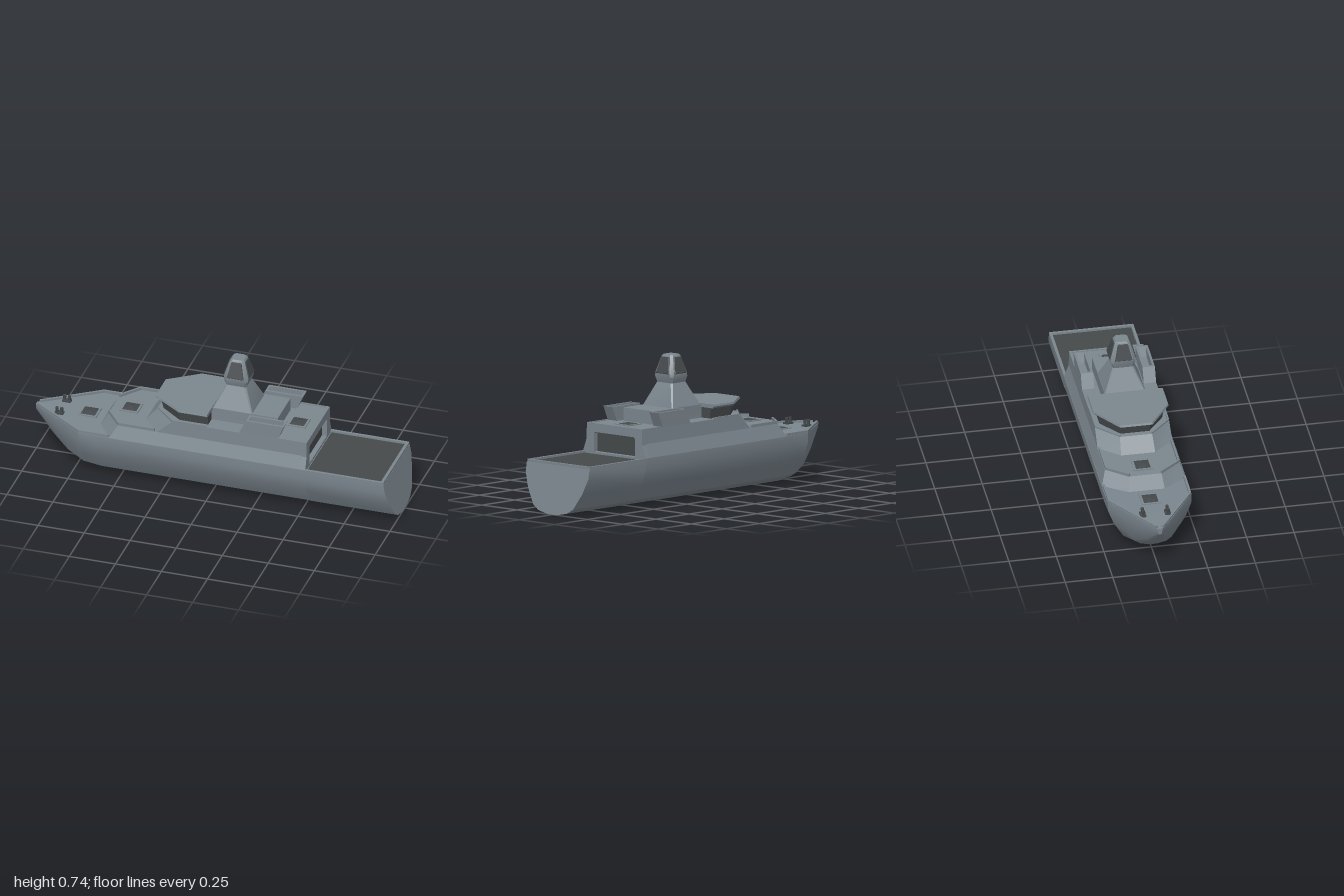
import * as THREE from 'three';
import { toCreasedNormals } from 'three/addons/utils/BufferGeometryUtils.js';

const grey = new THREE.MeshStandardMaterial({ color: 0x7b868e });
const dark = new THREE.MeshStandardMaterial({ color: 0x45494b });

// Skin a stack of equal-length rings (counter-clockwise seen from the end), with flat caps
function loft(rings, crease = 0.35) {
  const n = rings[0].length, idx = [];
  rings.slice(1).forEach((_, r) => {
    for (let i = 0; i < n; i++) {
      const a = r * n + i, b = r * n + (i + 1) % n;
      idx.push(a, b, b + n, a, b + n, a + n);
    }
  });
  const last = (rings.length - 1) * n;
  for (let i = 1; i < n - 1; i++) idx.push(0, i + 1, i, last, last + i, last + i + 1);
  const g = new THREE.BufferGeometry();
  g.setAttribute('position', new THREE.Float32BufferAttribute(rings.flat(2), 3));
  g.setIndex(idx);
  return toCreasedNormals(g, crease);
}

// Horizontal ring from a half outline [x, z] running stern to bow
const plan = (y, half) => [
  ...half.map(([x, z]) => [x, y, -z]),
  ...half.slice().reverse().map(([x, z]) => [x, y, z]),
];
const chamfered = (y, x0, x1, z, c) =>
  plan(y, [[x1, z - c], [x1 - c, z], [x0 + c, z], [x0, z - c]]);

export function createModel() {
  const ship = new THREE.Group();
  ship.name = 'patrolShip';
  const add = (name, geometry, material = grey, parent = ship) => {
    const m = new THREE.Mesh(geometry, material);
    m.name = name;
    parent.add(m);
    return m;
  };
  const box = (name, x, y, z, w, h, d, material = grey) => {
    const m = add(name, new THREE.BoxGeometry(w, h, d), material);
    m.position.set(x, y, z);
    return m;
  };
  // Low bulwark along a half outline, on both sides
  const rail = (name, pts, y0, y1, t) => {
    for (const s of [1, -1])
      for (let i = 1; i < pts.length; i++) {
        const [ax, az] = pts[i - 1], [bx, bz] = pts[i];
        const m = box(name, (ax + bx) / 2, (y0 + y1) / 2, s * (az + bz) / 2,
          Math.hypot(bx - ax, bz - az) + t * 0.4, y1 - y0, t);
        m.rotation.y = -Math.atan2(s * (bz - az), bx - ax);
      }
  };

  // Hull: one half section, scaled at stations [x, half beam, keel, deck]
  const section = [[1, 1], [1, 0.8], [0.86, 0.475], [0.63, 0.15], [0.45, 0.055], [0.14, 0]];
  const stations = [
    [-1, 0.012, 0.235, 0.27], [-0.95, 0.05, 0.185, 0.27], [-0.9, 0.085, 0.13, 0.27],
    [-0.8, 0.153, 0.05, 0.27], [-0.7, 0.22, 0.016, 0.268], [-0.6, 0.222, 0.002, 0.266],
    [0.529, 0.222, 0, 0.265], [0.53, 0.222, 0, 0.252], [0.955, 0.222, 0, 0.252],
  ];
  add('hull', loft(stations.map(([x, b, k, top], i) => {
    const half = section.map(([u, v]) => {
      const y = k + v * (top - k);
      return [i === stations.length - 1 ? 1 - 0.045 * y / 0.252 : x, y, u * b];
    });
    return [...half, ...half.slice().reverse().map(([px, y, z]) => [px, y, -z])];
  }), 0.4));

  // Stern working deck and its rim
  box('workingDeck', 0.74, 0.2525, 0, 0.41, 0.004, 0.412, dark);
  rail('sternRim', [[0.53, 0.2145], [0.948, 0.2145]], 0.25, 0.265, 0.015);
  box('transomRim', 0.946, 0.2575, 0, 0.016, 0.015, 0.44);

  // Superstructure tiers
  add('lowerTier', loft([
    plan(0.26, [[0.5, 0.222], [-0.54, 0.222], [-0.625, 0.095]]),
    plan(0.335, [[0.5, 0.197], [-0.495, 0.197], [-0.58, 0.085]]),
  ]));
  add('upperTier', loft([
    plan(0.33, [[0.5, 0.197], [-0.29, 0.197], [-0.38, 0.09]]),
    plan(0.41, [[0.5, 0.195], [-0.2, 0.195], [-0.315, 0.085]]),
  ]));

  // Bulwarks at the deck edges
  rail('bowBulwark', [[-0.545, 0.213], [-0.7, 0.212], [-0.985, 0.016]], 0.262, 0.281, 0.012);
  rail('lowerTierBulwark', [[-0.3, 0.19], [-0.493, 0.19], [-0.575, 0.085]], 0.33, 0.35, 0.01);
  rail('upperTierBulwark', [[-0.02, 0.19], [-0.2, 0.19], [-0.308, 0.085]], 0.4, 0.417, 0.01);
  rail('aftBulwark', [[0.38, 0.19], [0.525, 0.19]], 0.4, 0.414, 0.01);
  box('aftCoaming', 0.524, 0.407, 0, 0.012, 0.014, 0.39);

  // Aft wall with the hangar opening
  const wall = new THREE.Shape([[-0.222, 0.25], [0.222, 0.25], [0.222, 0.262], [0.197, 0.33],
    [0.195, 0.41], [-0.195, 0.41], [-0.197, 0.33], [-0.222, 0.262]].map(p => new THREE.Vector2(...p)));
  wall.holes.push(new THREE.Path([[-0.145, 0.264], [-0.145, 0.36], [-0.137, 0.368],
    [0.137, 0.368], [0.145, 0.36], [0.145, 0.264]].map(p => new THREE.Vector2(...p))));
  const aft = add('aftWall', new THREE.ExtrudeGeometry(wall, { depth: 0.03, bevelEnabled: false }));
  aft.rotation.y = Math.PI / 2;
  aft.position.x = 0.5;
  box('hangarDoor', 0.501, 0.316, 0, 0.004, 0.104, 0.29, dark);

  // Bridge: window band under an overhanging roof
  add('bridgeWindows', loft([
    plan(0.41, [[-0.015, 0.165], [-0.17, 0.165], [-0.285, 0.075]]),
    plan(0.47, [[-0.015, 0.175], [-0.17, 0.175], [-0.3, 0.08]]),
  ]), dark);
  add('bridgeRoof', loft([
    plan(0.466, [[-0.01, 0.19], [-0.165, 0.19], [-0.315, 0.08]]),
    plan(0.476, [[-0.01, 0.2], [-0.165, 0.2], [-0.33, 0.085]]),
    plan(0.486, [[-0.01, 0.197], [-0.165, 0.197], [-0.325, 0.083]]),
  ]));

  // Deckhouse and mast
  box('deckhouse', 0.165, 0.444, 0, 0.36, 0.072, 0.215);
  add('mast', loft([
    chamfered(0.41, -0.012, 0.212, 0.108, 0.006),
    chamfered(0.48, -0.01, 0.205, 0.106, 0.006),
    chamfered(0.6, 0.045, 0.155, 0.055, 0.008),
    chamfered(0.63, 0.036, 0.164, 0.065, 0.012),
    chamfered(0.65, 0.034, 0.166, 0.066, 0.016),
    chamfered(0.735, 0.06, 0.14, 0.04, 0.012),
    chamfered(0.744, 0.066, 0.134, 0.034, 0.011),
  ]));
  const panel = new THREE.Shape([[-0.044, 0], [0.044, 0], [0.025, 0.085], [-0.025, 0.085]]
    .map(p => new THREE.Vector2(...p)));
  const panelGeometry = new THREE.ExtrudeGeometry(panel, {
    depth: 0.004, bevelThickness: 0.002, bevelSize: 0.002, bevelSegments: 1,
  });
  for (let i = 0; i < 4; i++) {
    const side = new THREE.Group();
    side.name = 'sensorSide';
    side.position.set(0.1, 0.649, 0);
    side.rotation.y = i * Math.PI / 2;
    ship.add(side);
    const p = add('sensorPanel', panelGeometry, dark, side);
    p.position.z = 0.065;
    p.rotation.x = -0.297;
  }

  // Raked open-topped lockers beside the deckhouse
  const rect = (y, x0, x1, z0, z1) => [[x1, y, z0], [x0, y, z0], [x0, y, z1], [x1, y, z1]];
  for (const [z0, z1] of [[0.13, 0.195], [-0.195, -0.13]])
    add('deckLocker', loft([
      rect(0.405, 0.16, 0.37, z0, z1), rect(0.486, 0.2, 0.405, z0, z1),
      rect(0.486, 0.212, 0.393, z0 + 0.012, z1 - 0.012),
      rect(0.435, 0.19, 0.372, z0 + 0.012, z1 - 0.012),
    ]));

  // Deck hatches: low pyramids on thin frames
  const lid = new THREE.ConeGeometry(0.062, 0.008, 4).toNonIndexed();
  lid.computeVertexNormals();
  for (const [x, y] of [[-0.71, 0.268], [-0.485, 0.335], [0.425, 0.41]]) {
    box('hatchFrame', x, y + 0.002, 0, 0.1, 0.006, 0.1);
    const m = add('hatchLid', lid, dark);
    m.position.set(x, y + 0.008, 0);
    m.rotation.y = Math.PI / 4;
  }

  // Twin mooring bollards on the bow
  for (const z of [0.065, -0.065]) {
    box('bollardBase', -0.855, 0.274, z, 0.046, 0.01, 0.03, dark);
    for (const dx of [-0.013, 0.013]) {
      const post = add('bollardPost', new THREE.CylinderGeometry(0.009, 0.007, 0.028, 10), dark);
      post.position.set(-0.855 + dx, 0.291, z);
    }
  }
  return ship;
}
